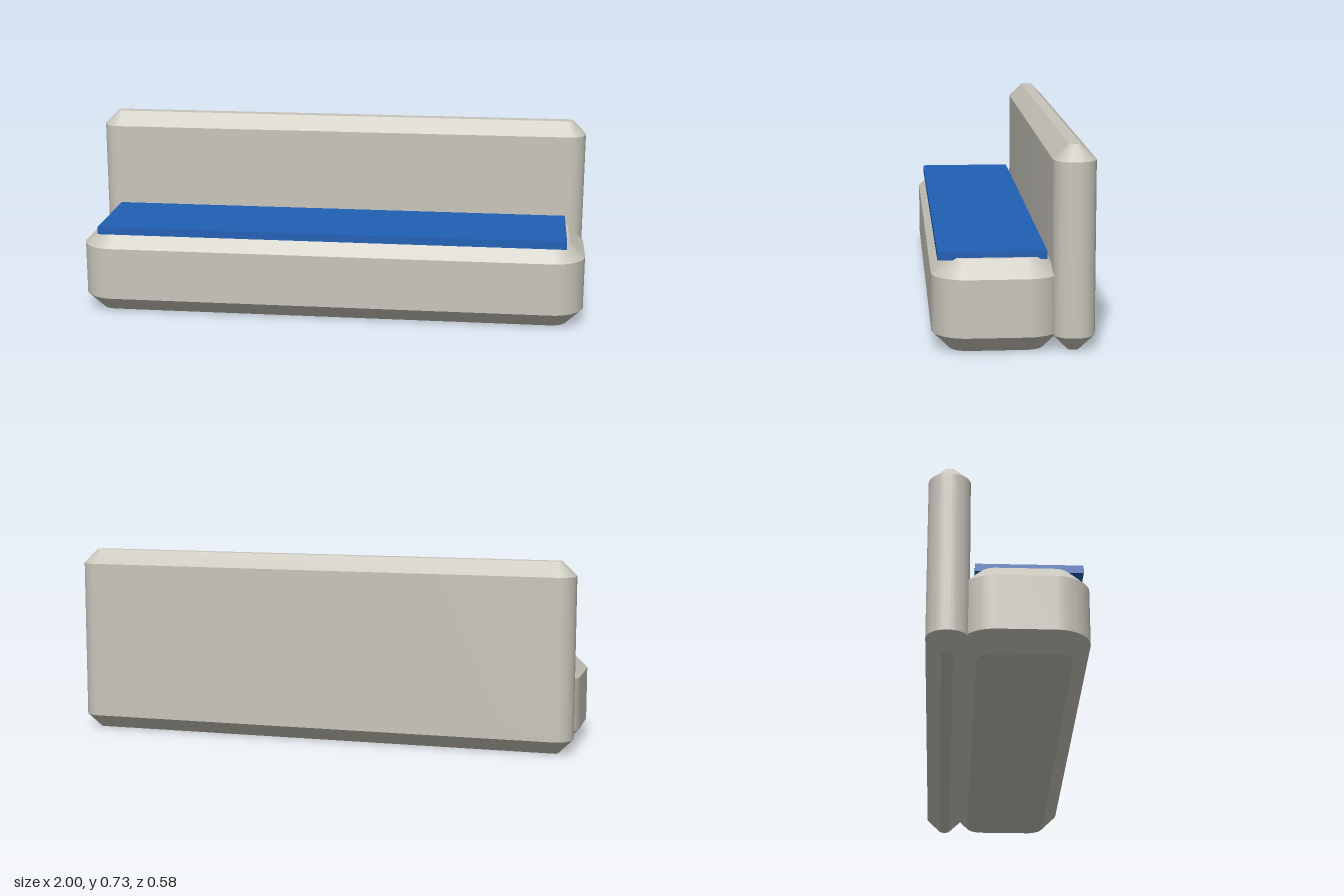
import * as THREE from 'three';
import { toCreasedNormals } from 'three/addons/utils/BufferGeometryUtils.js';

// Upright slab with rounded corners in plan and chamfered top and bottom rims
function chamferedSlab(width, height, depth, radius, chamfer) {
  const r = radius - chamfer;
  const x = width / 2 - chamfer - r;
  const y = depth / 2 - chamfer - r;
  const outline = new THREE.Shape();
  [[x, y], [-x, y], [-x, -y], [x, -y]].forEach(([cx, cy], i) => {
    outline.absarc(cx, cy, r, i * Math.PI / 2, (i + 1) * Math.PI / 2, false);
  });
  const geometry = new THREE.ExtrudeGeometry(outline, {
    depth: height - 2 * chamfer,
    bevelEnabled: true,
    bevelSize: chamfer,
    bevelThickness: chamfer,
    bevelSegments: 1,
    curveSegments: 10,
  });
  geometry.translate(0, 0, chamfer);
  geometry.rotateX(-Math.PI / 2);
  return toCreasedNormals(geometry, 0.5);
}

export function createModel() {
  const stone = new THREE.MeshStandardMaterial({ name: 'warm grey', color: 0xc8c5bb });
  const blue = new THREE.MeshStandardMaterial({ name: 'blue', color: 0x2060b5 });
  const model = new THREE.Group();
  model.name = 'bench';

  const add = (name, geometry, material, y, z) => {
    const mesh = new THREE.Mesh(geometry, material);
    mesh.name = name;
    mesh.position.set(0, y, z);
    model.add(mesh);
  };

  // Solid base, tall backrest and the thin seat panel resting on the base
  add('seatBase', chamferedSlab(2, 0.332, 0.46, 0.127, 0.062), stone, 0, 0.058);
  add('backrest', chamferedSlab(2, 0.732, 0.152, 0.071, 0.055), stone, 0, -0.211);
  add('seatPanel', new THREE.BoxGeometry(1.85, 0.03, 0.384), blue, 0.339, 0.074);

  return model;
}
